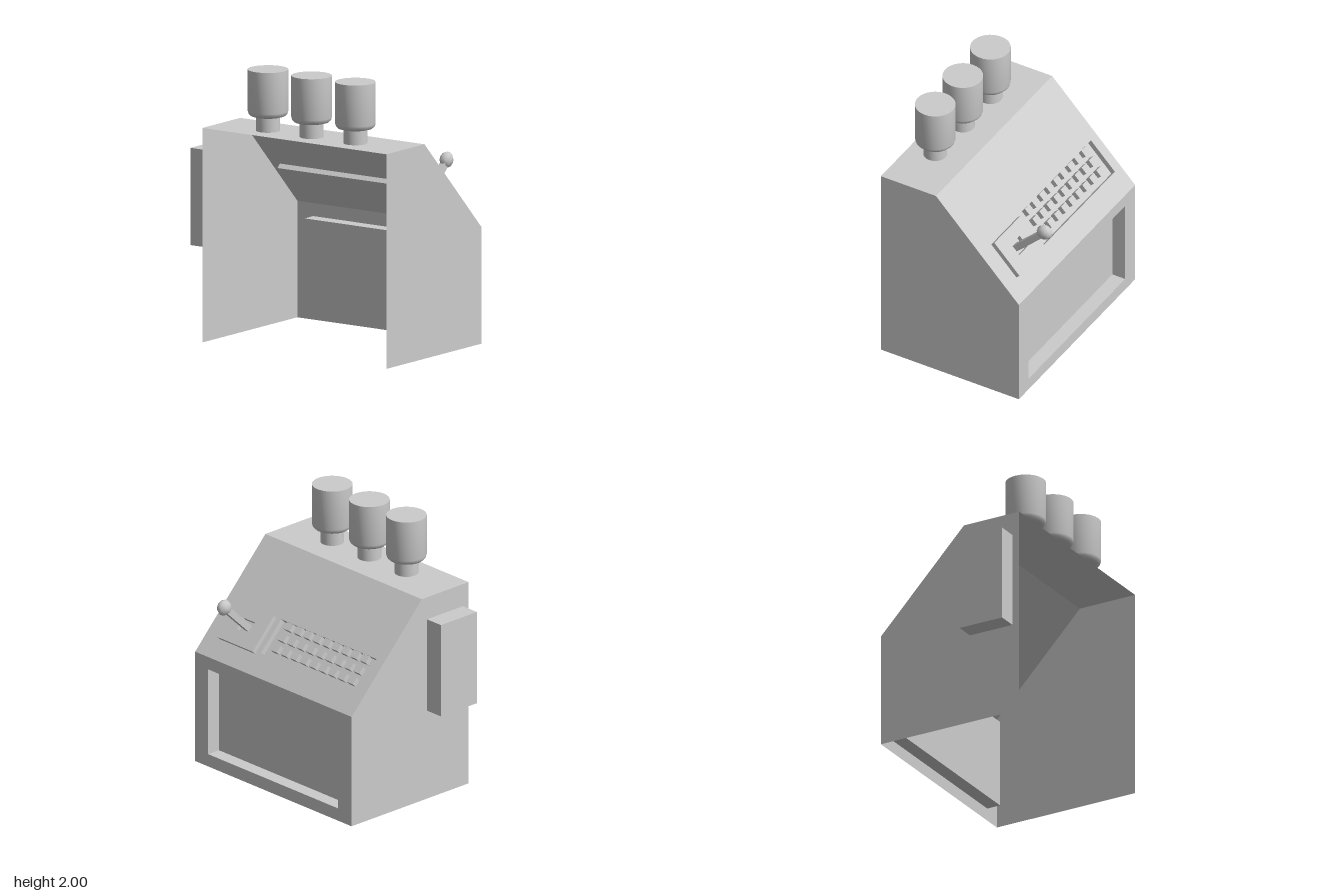
import * as THREE from 'three';
import { toCreasedNormals } from 'three/addons/utils/BufferGeometryUtils.js';

const grey = new THREE.MeshStandardMaterial({ color: 0xcccccc });
const thin = new THREE.MeshStandardMaterial({ color: 0xcccccc, side: THREE.DoubleSide });

const BACK = -0.615, FRONT = 0.525, TOP = 1.555, RIDGE = -0.16, SILL = 0.845;
const Z0 = -0.74, Z1 = 0.885;

function add(parent, name, geometry, material = grey) {
  const mesh = new THREE.Mesh(geometry, material);
  mesh.name = name;
  parent.add(mesh);
  return mesh;
}

// Rectangle given as [u0, v0, u1, v1]
function outline([u0, v0, u1, v1], Type = THREE.Shape) {
  return new Type([[u0, v0], [u1, v0], [u1, v1], [u0, v1]].map(p => new THREE.Vector2(...p)));
}

function block([u0, v0, u1, v1], n0, n1) {
  return new THREE.BoxGeometry(u1 - u0, v1 - v0, n1 - n0)
    .translate((u0 + u1) / 2, (v0 + v1) / 2, (n0 + n1) / 2);
}

// Thin sheet with a sunken pocket: holed sheet plus a box without its open side
function pocketPanel(parent, name, rect, pocket, depth) {
  const sheet = outline(rect);
  sheet.holes.push(outline(pocket, THREE.Path));
  add(parent, name, new THREE.ShapeGeometry(sheet), thin);
  const well = block(pocket, -depth, 0);
  const index = Array.from(well.index.array);
  index.splice(24, 6);
  well.setIndex(index);
  well.clearGroups();
  add(parent, name + 'Recess', well, thin);
}

// Local frame on the +x side: u runs to -z, v runs up the sheet, n points outward
function sheetFrame(name, y, up, normal) {
  const group = new THREE.Group();
  group.name = name;
  const m = new THREE.Matrix4().makeBasis(new THREE.Vector3(0, 0, -1), up, normal);
  group.quaternion.setFromRotationMatrix(m);
  group.position.set(FRONT, y, 0);
  return group;
}

function createBottle() {
  const pts = [[0.085, 0], [0.085, 0.105], [0.105, 0.105], [0.125, 0.111], [0.139, 0.125],
    [0.145, 0.145], [0.145, 0.445], [0, 0.445]].map(p => new THREE.Vector2(...p));
  return toCreasedNormals(new THREE.LatheGeometry(pts, 32), 0.7);
}

export function createModel() {
  const model = new THREE.Group();
  model.name = 'console';

  // Cabinet shell, open at the back and underneath
  const profile = new THREE.Shape([[BACK, 0], [FRONT, 0], [FRONT, SILL], [RIDGE, TOP], [BACK, TOP]]
    .map(p => new THREE.Vector2(...p)));
  for (const [name, z] of [['leftSidePanel', Z1], ['rightSidePanel', Z0]]) {
    add(model, name, new THREE.ShapeGeometry(profile), thin).position.z = z;
  }
  const top = add(model, 'topPanel', new THREE.PlaneGeometry(RIDGE - BACK, Z1 - Z0).rotateX(-Math.PI / 2), thin);
  top.position.set((RIDGE + BACK) / 2, TOP, (Z0 + Z1) / 2);

  // Lower panel with a wide recess
  const lower = sheetFrame('lowerFront', 0, new THREE.Vector3(0, 1, 0), new THREE.Vector3(1, 0, 0));
  pocketPanel(lower, 'lowerPanel', [-Z1, 0, -Z0, SILL], [-0.75, 0.095, 0.6, 0.75], 0.105);
  model.add(lower);

  // Sloping control panel with the sunken key bed
  const up = new THREE.Vector3(RIDGE - FRONT, TOP - SILL, 0);
  const length = up.length();
  up.normalize();
  const slope = sheetFrame('controlDesk', SILL, up, new THREE.Vector3(up.y, -up.x, 0));
  pocketPanel(slope, 'controlPanel', [-Z1, 0, -Z0, length], [-0.33, 0.174, 0.66, 0.458], 0.04);
  model.add(slope);

  // Three rows of nine keys
  const keys = new THREE.Group();
  keys.name = 'keys';
  slope.add(keys);
  for (let row = 0; row < 3; row++) {
    for (let col = 0; col < 9; col++) {
      const u = -0.265 + col * 0.0985, v = 0.222 + row * 0.09;
      add(keys, 'key', block([u, v, u + 0.064, v + 0.055], -0.04, 0));
    }
  }

  // Lever plate with a slot, the stick and its knob
  const lever = new THREE.Group();
  lever.name = 'lever';
  slope.add(lever);
  const plate = outline([-0.74, 0.153, -0.375, 0.452]);
  plate.holes.push(outline([-0.62, 0.26, -0.5, 0.355], THREE.Path));
  add(lever, 'leverPlate', new THREE.ExtrudeGeometry(plate, { depth: 0.035, bevelEnabled: false }));
  add(lever, 'leverStick', block([-0.583, 0.283, -0.539, 0.331], 0, 0.29));
  const knob = add(lever, 'leverKnob', new THREE.SphereGeometry(0.06, 8, 6).rotateX(Math.PI / 2));
  knob.scale.x = 0.75;
  knob.position.set(-0.561, 0.307, 0.325);

  // Bottles on top
  const bottle = createBottle();
  for (const z of [0.463, 0.077, -0.308]) {
    add(model, 'bottle', bottle, thin).position.set(-0.415, TOP, z);
  }

  // Box on the right side
  add(model, 'sideBox', block([-0.56, 0.68, -0.21, 1.385], -0.885, Z0));

  return model;
}
